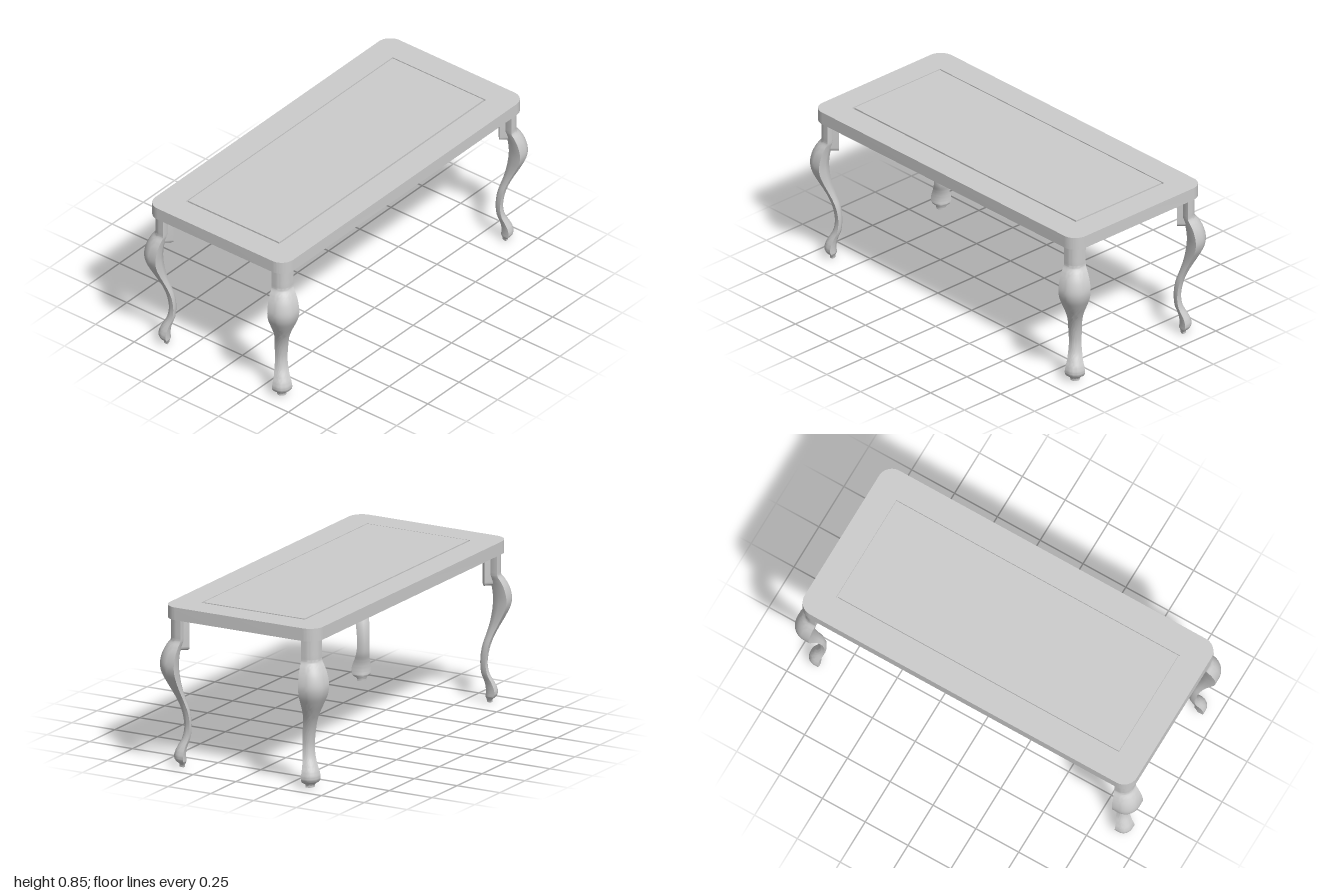
import * as THREE from 'three';
import { toCreasedNormals } from 'three/addons/utils/BufferGeometryUtils.js';

const material = new THREE.MeshStandardMaterial({ color: 0xcccccc });

function addMesh(parent, name, geometry) {
  const mesh = new THREE.Mesh(geometry, material);
  mesh.name = name;
  parent.add(mesh);
  return mesh;
}

// Rectangle with rounded corners, centred on the origin
function roundedRect(w, d, r) {
  const x = w / 2, y = d / 2, s = new THREE.Shape();
  s.moveTo(x, -y + r);
  s.lineTo(x, y - r);
  s.absarc(x - r, y - r, r, 0, Math.PI / 2);
  s.absarc(-x + r, y - r, r, Math.PI / 2, Math.PI);
  s.absarc(-x + r, -y + r, r, Math.PI, Math.PI * 1.5);
  s.absarc(x - r, -y + r, r, Math.PI * 1.5, Math.PI * 2);
  return s;
}

// Horizontal slab from y0 to y1
function slab(shape, y0, y1) {
  const g = new THREE.ExtrudeGeometry(shape, { depth: y1 - y0, bevelEnabled: false, curveSegments: 10 });
  g.rotateX(-Math.PI / 2).translate(0, y0, 0);
  return toCreasedNormals(g, 0.5);
}

// Leg profile: inner edge, height, outer edge along either horizontal axis
const PROFILE = [
  [0.357, 0, 0.39], [0.355, 0.015, 0.392], [0.345, 0.03, 0.41], [0.345, 0.05, 0.418],
  [0.345, 0.08, 0.413], [0.342, 0.11, 0.4], [0.333, 0.15, 0.383], [0.33, 0.2, 0.375],
  [0.331, 0.25, 0.378], [0.337, 0.3, 0.387], [0.349, 0.35, 0.402], [0.358, 0.4, 0.424],
  [0.362, 0.45, 0.449], [0.363, 0.5, 0.471], [0.363, 0.545, 0.478], [0.36, 0.6, 0.468],
  [0.356, 0.64, 0.45], [0.352, 0.67, 0.431], [0.352, 0.69, 0.43], [0.352, 0.787, 0.43],
];
const LEG_CENTRE = 0.4;

// Unit section: rounded outer corner, two wings and a shallow inner valley
function legSection() {
  const pts = [[1, 0]];
  for (let i = 0; i <= 10; i++) {
    const a = (i / 10) * Math.PI / 2;
    pts.push([0.3 + 0.7 * Math.cos(a), 0.3 + 0.7 * Math.sin(a)]);
  }
  pts.push([0, 1], [0, 0.6], [0.2, 0.2], [0.6, 0]);
  return pts;
}

function legGeometry() {
  const curve = new THREE.CatmullRomCurve3(PROFILE.map((p) => new THREE.Vector3(...p)));
  const rings = curve.getPoints(76), section = legSection(), n = section.length;
  const pos = [], index = [];
  const put = (r, u, v) => {
    const size = r.z - r.x, o = r.x - LEG_CENTRE;
    pos.push(o + u * size, r.y, o + v * size);
  };
  rings.forEach((r, i) => {
    for (const [u, v] of section) put(r, u, v);
    if (i === 0) return;
    for (let j = 0; j < n; j++) {
      const k = (j + 1) % n;
      const a = (i - 1) * n + j, b = (i - 1) * n + k;
      index.push(a, a + n, b, b, a + n, b + n);
    }
  });
  // Sole
  const centre = pos.length / 3;
  put(rings[0], 0.35, 0.35);
  for (let j = 0; j < n; j++) index.push(centre, j, (j + 1) % n);
  const g = new THREE.BufferGeometry();
  g.setAttribute('position', new THREE.Float32BufferAttribute(pos, 3));
  g.setIndex(index);
  return toCreasedNormals(g, 0.7);
}

// Narrow upright block with a rounded foot on the inner diagonal of the leg
function bracketGeometry() {
  const h = 0.022, bottom = 0.61, top = 0.786;
  const s = new THREE.Shape();
  s.moveTo(h, top);
  s.lineTo(-h, top);
  s.lineTo(-h, bottom + h);
  s.absarc(0, bottom + h, h, Math.PI, Math.PI * 2);
  s.lineTo(h, top);
  const g = new THREE.ExtrudeGeometry(s, { depth: 0.07, bevelEnabled: false, curveSegments: 8 });
  g.rotateY(Math.PI / 4).translate(0.351 - LEG_CENTRE, 0, 0.351 - LEG_CENTRE);
  return toCreasedNormals(g, 0.5);
}

export function createModel() {
  const model = new THREE.Group();
  model.name = 'table';

  // Tabletop: base slab, raised border and an inset panel with a thin groove around it
  const top = new THREE.Group();
  top.name = 'tabletop';
  model.add(top);
  const W = 1.94, D = 0.894, R = 0.075;
  addMesh(top, 'topSlab', slab(roundedRect(W, D, R), 0.785, 0.842));
  const border = roundedRect(W, D, R);
  const hx = 0.828, hz = 0.303;
  border.holes.push(new THREE.Path([
    new THREE.Vector2(-hx, -hz), new THREE.Vector2(-hx, hz),
    new THREE.Vector2(hx, hz), new THREE.Vector2(hx, -hz),
  ]));
  addMesh(top, 'topBorder', slab(border, 0.842, 0.852));
  addMesh(top, 'inlayPanel', new THREE.BoxGeometry(1.64, 0.013, 0.59).translate(0, 0.847, 0));

  // Four cabriole legs, turned a quarter for each corner
  const legGeo = legGeometry(), bracketGeo = bracketGeometry();
  const corners = [['frontLeftLeg', 1, 1], ['backLeftLeg', 1, -1], ['backRightLeg', -1, -1], ['frontRightLeg', -1, 1]];
  corners.forEach(([name, sx, sz], k) => {
    const leg = new THREE.Group();
    leg.name = name;
    addMesh(leg, 'cabriole', legGeo);
    addMesh(leg, 'bracket', bracketGeo);
    leg.position.set(sx * 0.922, 0, sz * LEG_CENTRE);
    leg.rotation.y = k * Math.PI / 2;
    model.add(leg);
  });
  return model;
}
